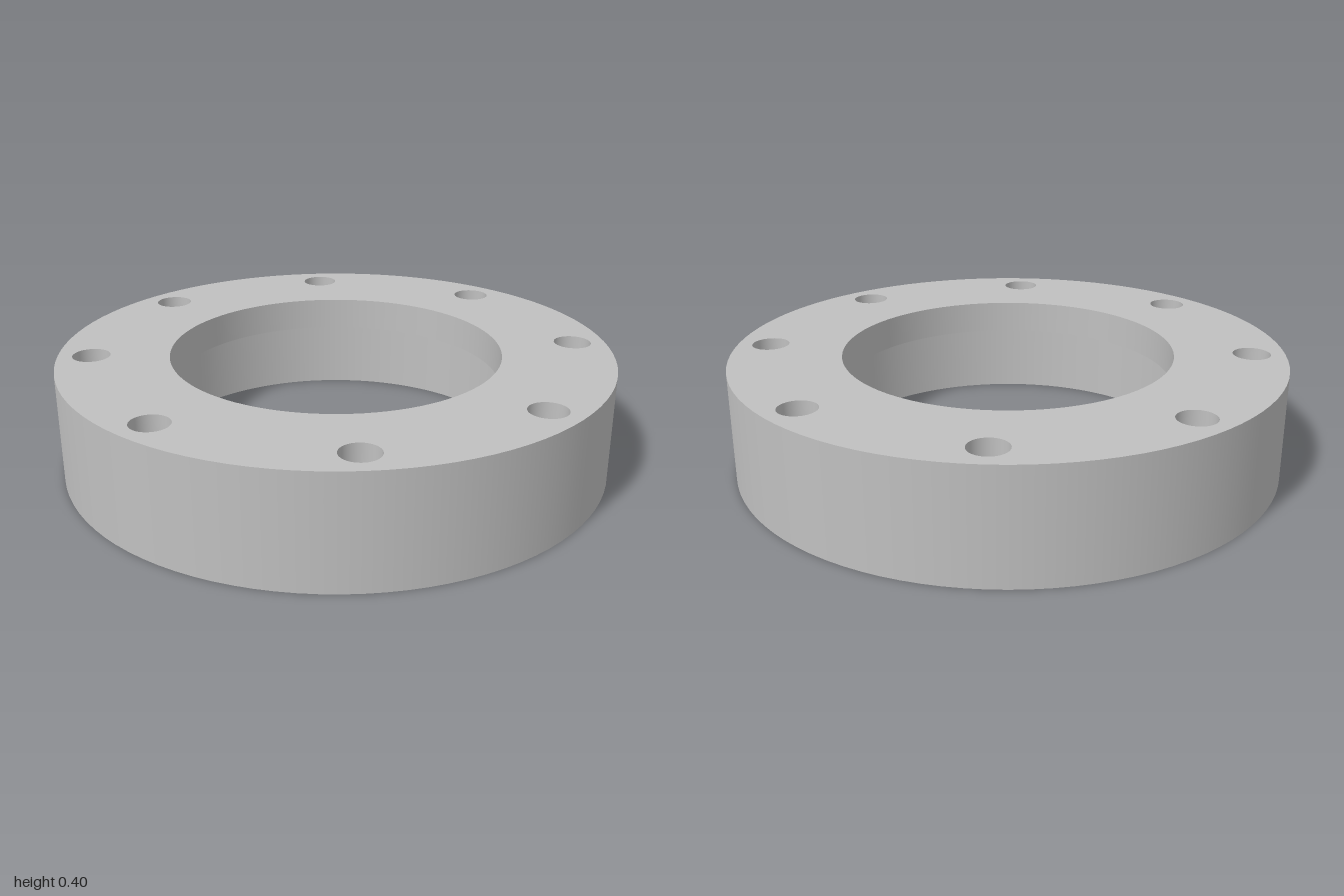
import * as THREE from 'three';

const HEIGHT = 0.4, STEP = 0.28;
const OUTER = 1, BORE = 0.6, COUNTERBORE = 0.7;
const HOLE = 0.0675, HOLE_RING = 0.88, HOLES = 8, SEGMENTS = 96;

export function createModel() {
  const group = new THREE.Group();
  group.name = 'flangeRing';
  const steel = new THREE.MeshStandardMaterial({ color: 0xc0c0c0 });
  steel.name = 'steel grey';

  const add = (name, geometry, parent = group) => {
    const mesh = new THREE.Mesh(geometry, steel);
    mesh.name = name;
    parent.add(mesh);
    return mesh;
  };

  // Surface swept by one profile edge; upward edges face out, downward edges face in
  const sweep = (r0, y0, r1, y1, segments = SEGMENTS) => new THREE.LatheGeometry(
    [new THREE.Vector2(r0, y0), new THREE.Vector2(r1, y1)], segments);

  const holeCentres = Array.from({ length: HOLES }, (_, i) => {
    const a = (i / HOLES) * Math.PI * 2;
    return [HOLE_RING * Math.cos(a), HOLE_RING * Math.sin(a)];
  });

  // Flat annular face pierced by the bolt holes
  const face = (innerRadius) => {
    const shape = new THREE.Shape().absarc(0, 0, OUTER, 0, Math.PI * 2);
    const cut = (x, y, r) => shape.holes.push(new THREE.Path().absarc(x, y, r, 0, Math.PI * 2, true));
    cut(0, 0, innerRadius);
    holeCentres.forEach(([x, y]) => cut(x, y, HOLE));
    return new THREE.ShapeGeometry(shape, SEGMENTS / 2);
  };

  // Ring body with a wider recess underneath
  add('outerWall', sweep(OUTER, 0, OUTER, HEIGHT));
  add('topFace', face(BORE).rotateX(-Math.PI / 2).translate(0, HEIGHT, 0));
  add('boreWall', sweep(BORE, HEIGHT, BORE, STEP));
  add('recessShoulder', sweep(BORE, STEP, COUNTERBORE, STEP));
  add('recessWall', sweep(COUNTERBORE, STEP, COUNTERBORE, 0));
  add('bottomFace', face(COUNTERBORE).rotateX(Math.PI / 2));

  // Bolt hole walls
  const boltHoles = new THREE.Group();
  boltHoles.name = 'boltHoles';
  group.add(boltHoles);
  const holeWall = sweep(HOLE, HEIGHT, HOLE, 0);
  holeCentres.forEach(([x, z], i) => add(`boltHole${i + 1}`, holeWall, boltHoles).position.set(x, 0, z));

  return group;
}
